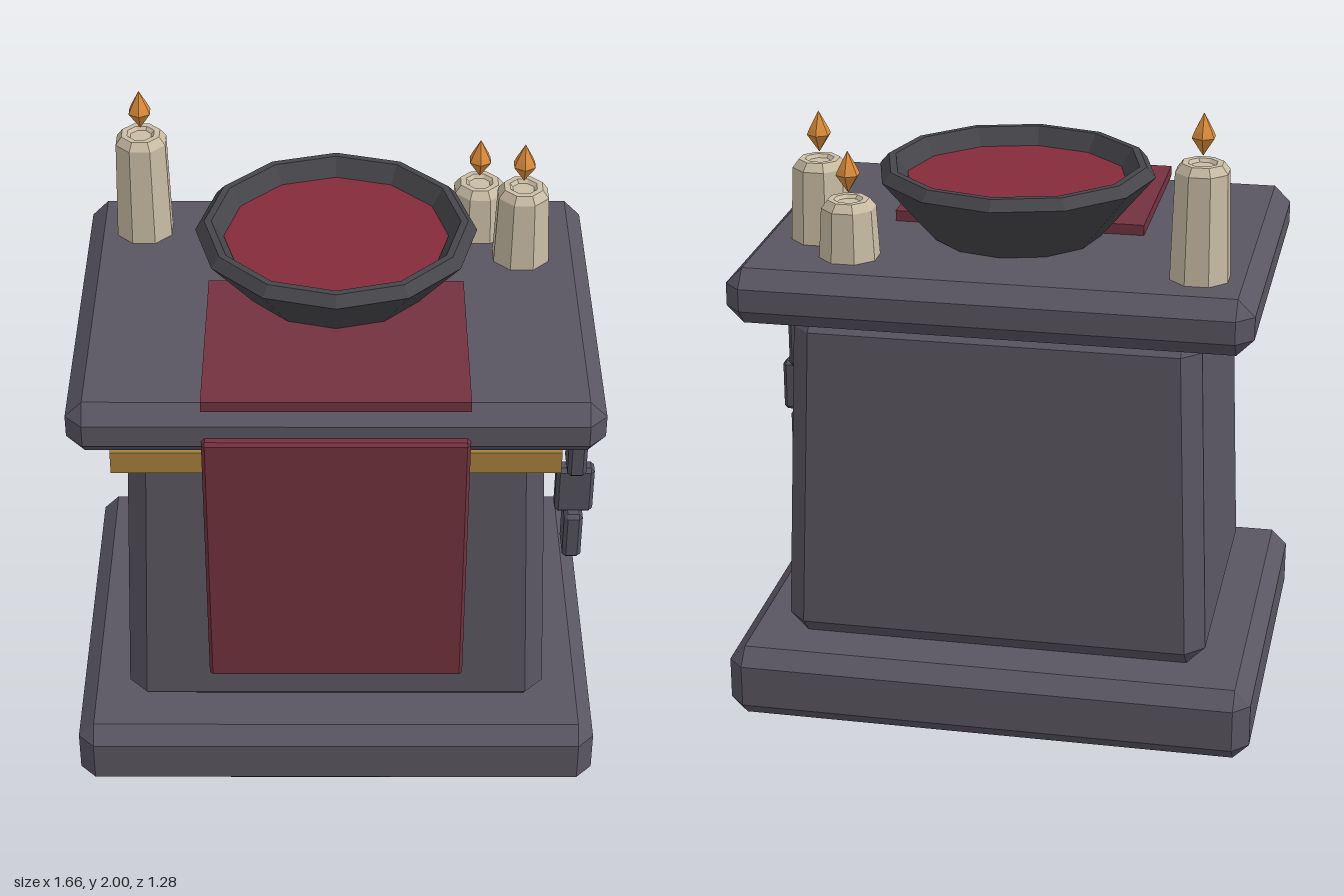
import * as THREE from 'three';
import { ConvexGeometry } from 'three/addons/geometries/ConvexGeometry.js';

const material = (name, color) => {
  const m = new THREE.MeshStandardMaterial({ color, flatShading: true });
  m.name = name;
  return m;
};

// Box with every edge chamfered by c; the upper half-sizes may differ for a taper
function chamferBox(hx, hz, y0, y1, c, topHx = hx, topHz = hz) {
  const points = [];
  for (const top of [false, true]) {
    const x = top ? topHx : hx, z = top ? topHz : hz;
    const y = top ? y1 : y0, inner = top ? y1 - c : y0 + c;
    for (const sx of [-1, 1]) for (const sz of [-1, 1]) {
      points.push(
        new THREE.Vector3(sx * (x - c), y, sz * (z - c)),
        new THREE.Vector3(sx * x, inner, sz * (z - c)),
        new THREE.Vector3(sx * (x - c), inner, sz * z)
      );
    }
  }
  return new ConvexGeometry(points);
}

const lathe = (profile, sides) =>
  new THREE.LatheGeometry(profile.map(([r, y]) => new THREE.Vector2(r, y)), sides);

export function createModel() {
  const model = new THREE.Group();
  model.name = 'altar';
  const stone = material('stone', 0x5a5661);
  const iron = material('dark iron', 0x45454a);
  const chainMetal = material('chain metal', 0x54525c);
  const cloth = material('cloth', 0x72323e);
  const liquid = material('red liquid', 0x862b3b);
  const gold = material('gold', 0xa8803c);
  const wax = material('wax', 0xcabda5);
  const flameColor = material('flame', 0xdc8c3c);

  const add = (name, geometry, mat, x = 0, y = 0, z = 0, parent = model) => {
    const mesh = new THREE.Mesh(geometry, mat);
    mesh.name = name;
    mesh.position.set(x, y, z);
    parent.add(mesh);
    return mesh;
  };

  // Stone plinth, tapered body and table slab
  add('plinth', chamferBox(0.828, 0.637, 0, 0.235, 0.05), stone);
  add('body', chamferBox(0.667, 0.495, 0.235, 1.325, 0.058, 0.63, 0.473), stone);
  add('slab', chamferBox(0.797, 0.607, 1.32, 1.495, 0.052), stone);

  // Gold trim under the front of the slab
  add('trim', new THREE.BoxGeometry(1.35, 0.076, 0.038), gold, 0, 1.253, 0.513);

  // Cloth lying on the slab and hanging in front
  add('clothTop', new THREE.BoxGeometry(0.79, 0.035, 0.635), cloth, 0, 1.511, 0.283);
  add('clothDrape', chamferBox(0.395, 0.024, 0.49, 1.402, 0.01), cloth, 0, 0, 0.614);

  // Twelve-sided bowl with its filling
  const bowl = new THREE.Group();
  bowl.name = 'bowl';
  bowl.position.set(0, 0, -0.067);
  model.add(bowl);
  add('bowlShell', lathe([
    [0, 1.497], [0.265, 1.497], [0.3, 1.537], [0.433, 1.695],
    [0.405, 1.727], [0.383, 1.727], [0.34, 1.66], [0, 1.66]
  ], 12), iron, 0, 0, 0, bowl);
  add('bowlFilling', lathe([[0.346, 1.672], [0, 1.672]], 12), liquid, 0, 0, 0, bowl);

  // Candles: position and height of the top
  const flameShape = lathe([[0, 0], [0.038, 0.057], [0.03, 0.075], [0, 0.13]], 6);
  for (const [x, z, top] of [[-0.613, -0.385, 1.85], [0.455, -0.385, 1.675], [0.583, -0.232, 1.75]]) {
    const candle = new THREE.Group();
    candle.name = 'candle';
    candle.position.set(x, 1.49, z);
    model.add(candle);
    const h = top - 1.49;
    add('candleWax', lathe([
      [0, 0], [0.094, 0], [0.084, h - 0.025], [0.064, h], [0.045, h], [0.035, h - 0.01], [0, h - 0.01]
    ], 8), wax, 0, 0, 0, candle).rotation.y = Math.PI / 8;
    add('candleFlame', flameShape, flameColor, 0, h + 0.02, 0, candle);
  }

  // Hanging chain of plates, each turned a quarter from the last
  const chain = new THREE.Group();
  chain.name = 'chain';
  chain.position.set(0.763, 0, 0.13);
  model.add(chain);
  const link = chamferBox(0.03, 0.061, -0.086, 0.086, 0.012);
  for (let i = 0; i < 5; i++) {
    const mesh = add('chainLink', link, chainMetal, 0, 0.684 + i * 0.165, 0, chain);
    mesh.rotation.y = i % 2 ? Math.PI / 2 : 0;
  }
  return model;
}
